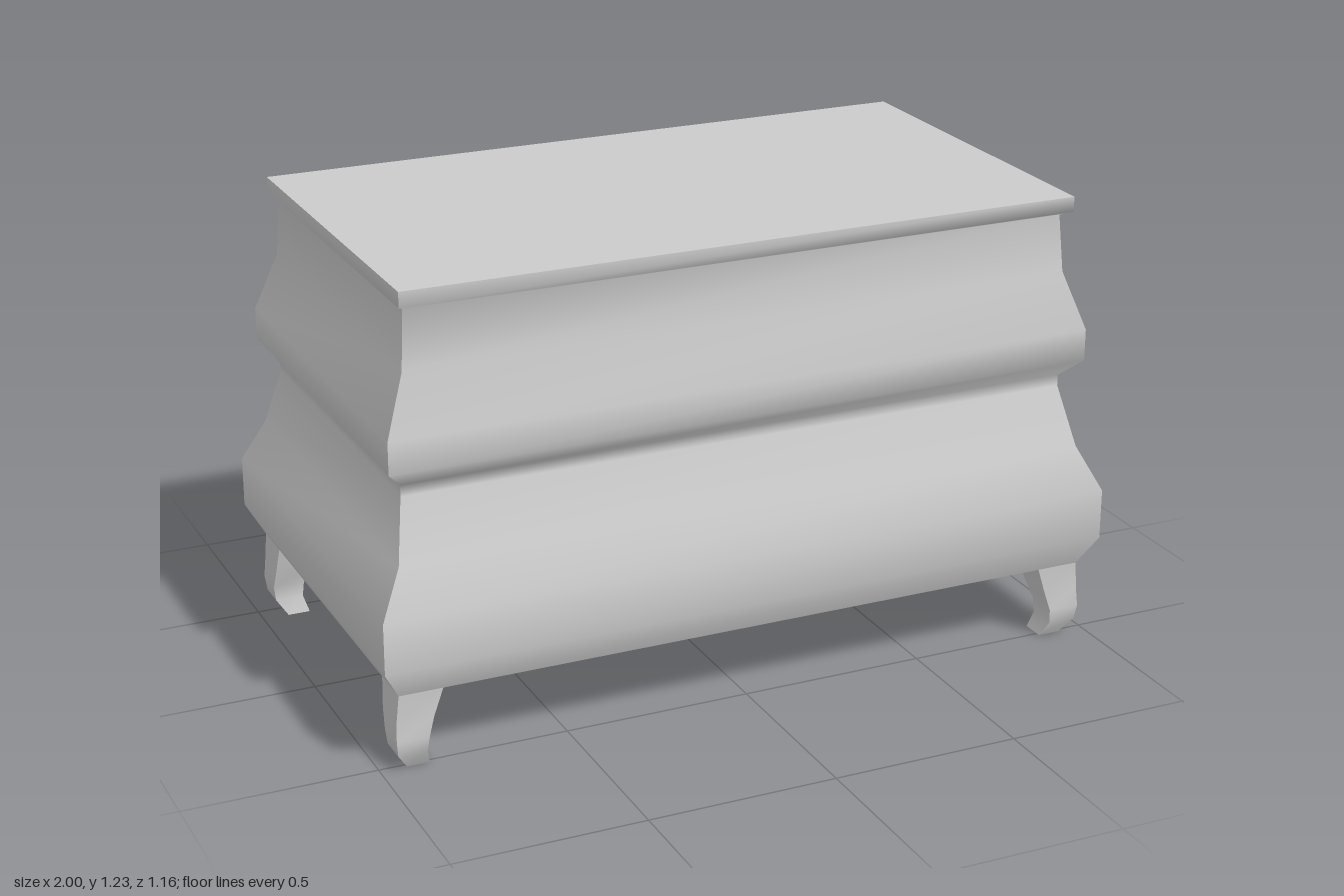
import * as THREE from 'three';

// Lofts rectangles [y, x0, x1, z0, z1] (bottom to top): each side is smooth
// up its height, while the corners and end caps stay sharp.
function loft(sections, name, material) {
  const pos = [], idx = [];
  const rings = sections.map(([y, x0, x1, z0, z1]) =>
    [[x0, y, z1], [x1, y, z1], [x1, y, z0], [x0, y, z0]]);
  for (let s = 0; s < 4; s++) {
    const base = pos.length / 3;
    rings.forEach((r, i) => {
      pos.push(...r[s], ...r[(s + 1) % 4]);
      if (i === 0) return;
      const a = base + (i - 1) * 2;
      idx.push(a, a + 1, a + 3, a, a + 3, a + 2);
    });
  }
  for (const ring of [rings[rings.length - 1], [...rings[0]].reverse()]) {
    const a = pos.length / 3;
    pos.push(...ring.flat());
    idx.push(a, a + 1, a + 2, a, a + 2, a + 3);
  }
  const geo = new THREE.BufferGeometry();
  geo.setAttribute('position', new THREE.Float32BufferAttribute(pos, 3));
  geo.setIndex(idx);
  geo.computeVertexNormals();
  const mesh = new THREE.Mesh(geo, material);
  mesh.name = name;
  return mesh;
}

export function createModel() {
  const group = new THREE.Group();
  group.name = 'bombeChest';
  const grey = new THREE.MeshStandardMaterial({ color: 0xcccccc });

  // Bulging carcass with overhanging top: [y, half width, half depth]
  const profile = [
    [0.21, 0.955, 0.54], [0.29, 1, 0.578], [0.425, 1, 0.578], [0.545, 0.94, 0.532],
    [0.7, 0.91, 0.475], [0.73, 0.91, 0.475], [0.78, 0.955, 0.527], [0.865, 0.955, 0.527],
    [1.02, 0.9, 0.487], [1.17, 0.89, 0.475], [1.185, 0.91, 0.51], [1.225, 0.91, 0.51],
  ];
  group.add(loft(profile.map(([y, w, d]) => [y, -w, w, -d, d]), 'body', grey));

  // Curved legs: [y, inner x, outer x, inner z, outer z]
  const leg = [
    [0, 0.87, 0.93, 0.447, 0.511], [0.045, 0.884, 0.96, 0.458, 0.537],
    [0.085, 0.88, 0.965, 0.456, 0.543], [0.135, 0.865, 0.962, 0.437, 0.537],
    [0.21, 0.84, 0.955, 0.42, 0.54],
  ];
  const span = (a, b, sign) => (sign > 0 ? [a, b] : [-b, -a]);
  for (const sx of [1, -1]) for (const sz of [1, -1]) {
    const name = (sz > 0 ? 'front' : 'back') + (sx > 0 ? 'Left' : 'Right') + 'Leg';
    group.add(loft(leg.map(([y, xi, xo, zi, zo]) =>
      [y, ...span(xi, xo, sx), ...span(zi, zo, sz)]), name, grey));
  }
  return group;
}
